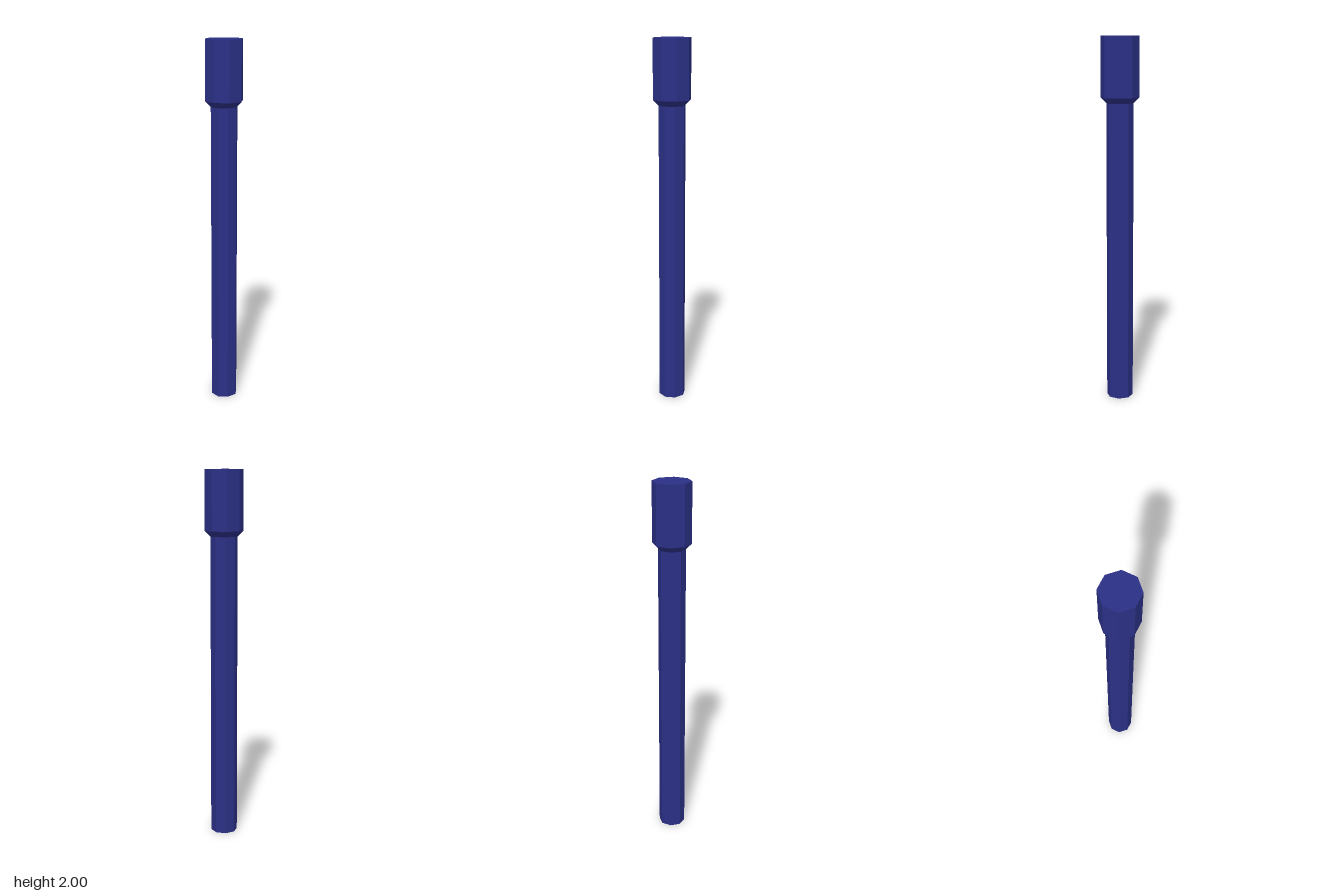
import * as THREE from 'three';

const SIDES = 8;
const SHAFT_RADIUS = 0.073;
const HEAD_RADIUS = 0.103;

export function createModel() {
  const group = new THREE.Group();
  group.name = 'octagonalPost';
  const material = new THREE.MeshStandardMaterial({ color: 0x2b3086, flatShading: true });

  // Eight-sided section between two heights, with a corner on each axis
  function section(name, bottomY, topY, bottomRadius, topRadius, open = false) {
    const height = topY - bottomY;
    const geometry = new THREE.CylinderGeometry(topRadius, bottomRadius, height, SIDES, 1, open);
    const mesh = new THREE.Mesh(geometry, material);
    mesh.name = name;
    mesh.position.y = bottomY + height / 2;
    group.add(mesh);
  }

  section('shaft', 0, 1.65, SHAFT_RADIUS, SHAFT_RADIUS);
  // Short flare joining the shaft to the wider head
  section('collar', 1.65, 1.68, SHAFT_RADIUS, HEAD_RADIUS, true);
  section('head', 1.68, 2, HEAD_RADIUS, HEAD_RADIUS);

  return group;
}
